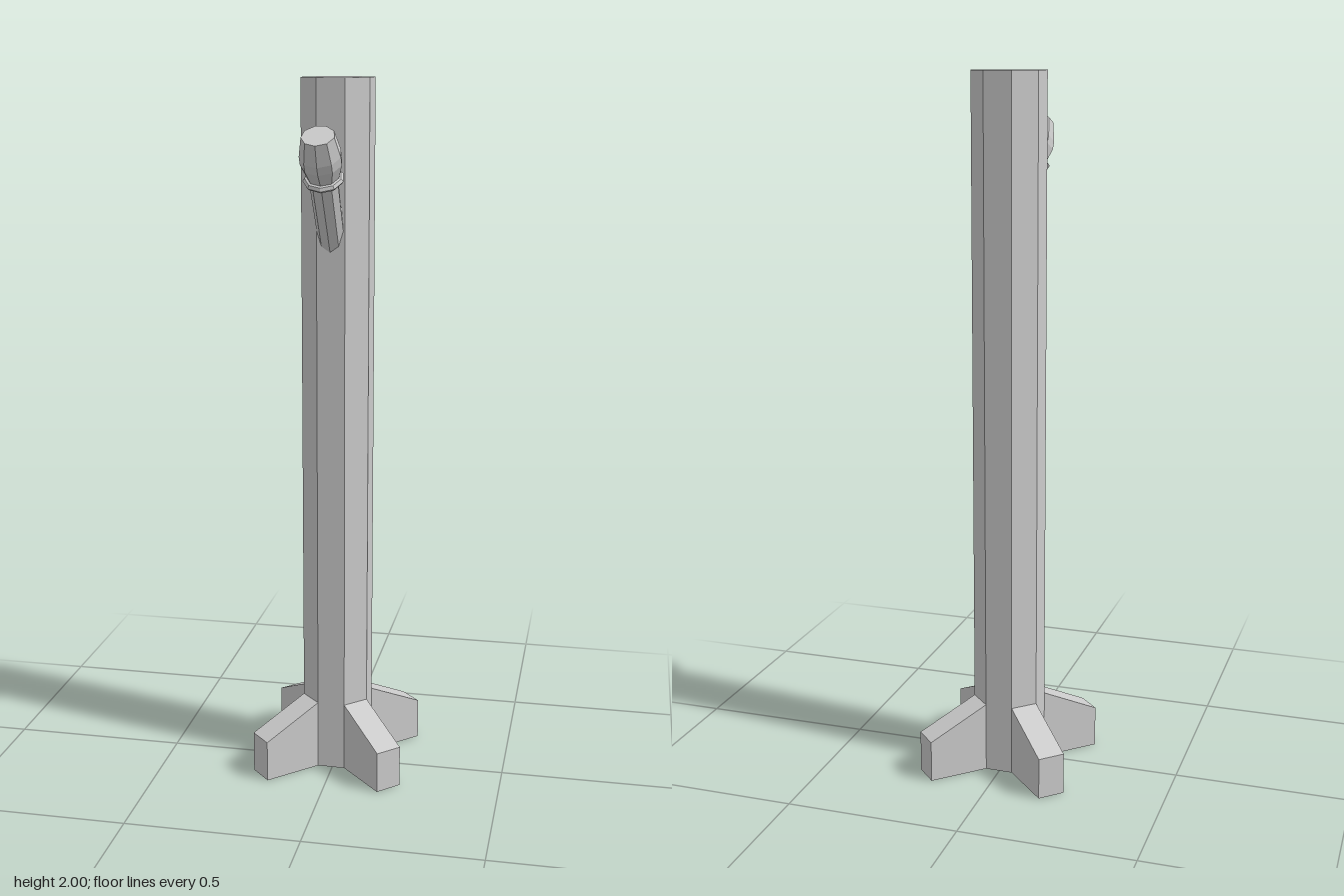
import * as THREE from 'three';

const material = new THREE.MeshStandardMaterial({ color: 0xcccccc, flatShading: true });

function addMesh(parent, name, geometry) {
  const mesh = new THREE.Mesh(geometry, material);
  mesh.name = name;
  parent.add(mesh);
  return mesh;
}

export function createModel() {
  const model = new THREE.Group();
  model.name = 'post';

  const apothem = 0.0955;
  const side = 2 * apothem * Math.tan(Math.PI / 8);

  // Octagonal post and its feet share a very slight twist
  const stand = new THREE.Group();
  stand.name = 'stand';
  stand.position.set(-0.001, 0, -0.035);
  stand.rotation.y = THREE.MathUtils.degToRad(-1.3);
  model.add(stand);

  const radius = apothem / Math.cos(Math.PI / 8);
  const post = new THREE.CylinderGeometry(radius, radius, 2, 8);
  post.rotateY(Math.PI / 8);
  post.translate(0, 1, 0);
  addMesh(stand, 'octagonalPost', post);

  // Four diagonal feet with sloping tops, as wide as one post face
  const profile = new THREE.Shape([
    new THREE.Vector2(apothem - 0.005, 0),
    new THREE.Vector2(0.27, 0),
    new THREE.Vector2(0.27, 0.12),
    new THREE.Vector2(apothem, 0.203),
    new THREE.Vector2(apothem - 0.005, 0.203),
  ]);
  const foot = new THREE.ExtrudeGeometry(profile, { depth: side, bevelEnabled: false });
  foot.translate(0, 0, -side / 2);
  for (let i = 0; i < 4; i++) {
    addMesh(stand, `foot${i + 1}`, foot).rotation.y = Math.PI / 4 + (i * Math.PI) / 2;
  }

  // Spout leaning up and forward; its origin is the centre of the tip
  const spout = new THREE.Group();
  spout.name = 'spout';
  spout.position.set(-0.005, 1.857, 0.217);
  spout.rotation.x = THREE.MathUtils.degToRad(32);
  model.add(spout);

  const lathe = (points) =>
    new THREE.LatheGeometry(points.map(([r, y]) => new THREE.Vector2(r, y)), 9);

  addMesh(spout, 'spoutPipe', lathe([[0, -0.36], [0.037, -0.36], [0.04, -0.11], [0, -0.11]]));
  addMesh(spout, 'spoutCollar', lathe([
    [0.036, -0.147], [0.05, -0.145], [0.056, -0.137], [0.05, -0.129], [0.036, -0.127],
  ]));
  addMesh(spout, 'spoutHead', lathe([
    [0, -0.127], [0.044, -0.127], [0.057, -0.085], [0.057, -0.06], [0.045, 0], [0, 0],
  ]));

  return model;
}
